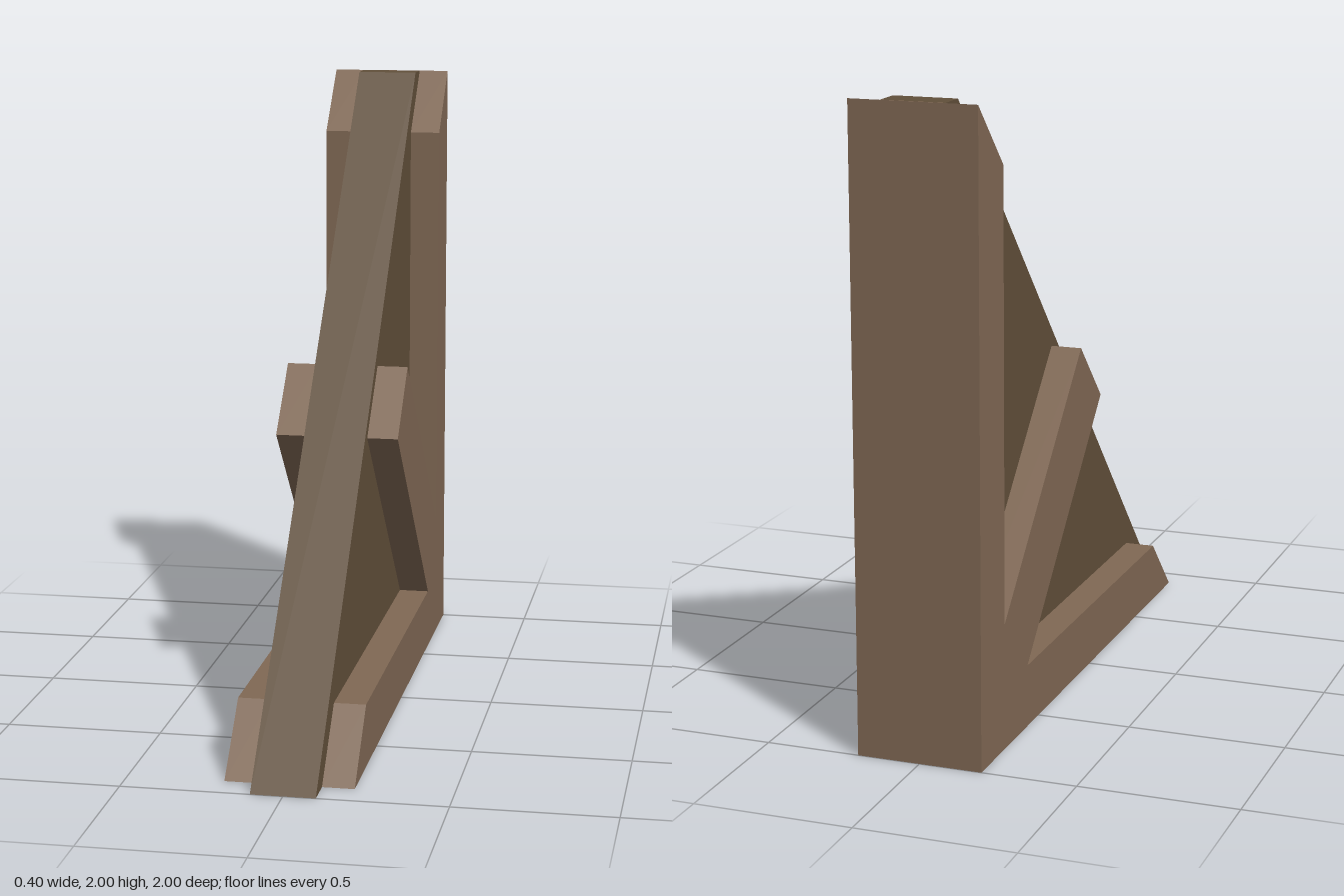
import * as THREE from 'three';

const frameMaterial = new THREE.MeshStandardMaterial({ color: 0x806854, flatShading: true });
const coreMaterial = new THREE.MeshStandardMaterial({ color: 0x614f3a, flatShading: true });

// Extrudes a [z, y] side outline from x0 across the given width
function slab(name, outline, x0, width, material) {
  const shape = new THREE.Shape(outline.map(([z, y]) => new THREE.Vector2(-z, y)));
  const geometry = new THREE.ExtrudeGeometry(shape, { depth: width, bevelEnabled: false });
  geometry.rotateY(Math.PI / 2).translate(x0, 0, 0);
  const mesh = new THREE.Mesh(geometry, material);
  mesh.name = name;
  return mesh;
}

export function createModel() {
  const model = new THREE.Group();
  model.name = 'bracket';
  const back = -0.995;

  // Central plate with the long sloping front edge
  const plate = [[1, 0], [-0.9, 2], [back, 2], [back, 0]];
  model.add(slab('corePlate', plate, -0.1, 0.2, coreMaterial));

  // Side frames: foot, upright and diagonal brace in one outline
  const frame = [
    [-1, 0], [0.9, 0], [0.7, 0.2], [-0.6, 0.2], [0.1, 0.9],
    [-0.1, 1.1], [-0.8, 0.4], [-0.8, 1.8], [-1, 2],
  ];
  model.add(slab('leftFrame', frame, 0.1, 0.1, frameMaterial));
  model.add(slab('rightFrame', frame, -0.2, 0.1, frameMaterial));

  // Thin facing that closes the back between the frames
  const facing = [[back, 0], [back, 2], [-1, 2], [-1, 0]];
  model.add(slab('backFacing', facing, -0.1, 0.2, frameMaterial));

  return model;
}
